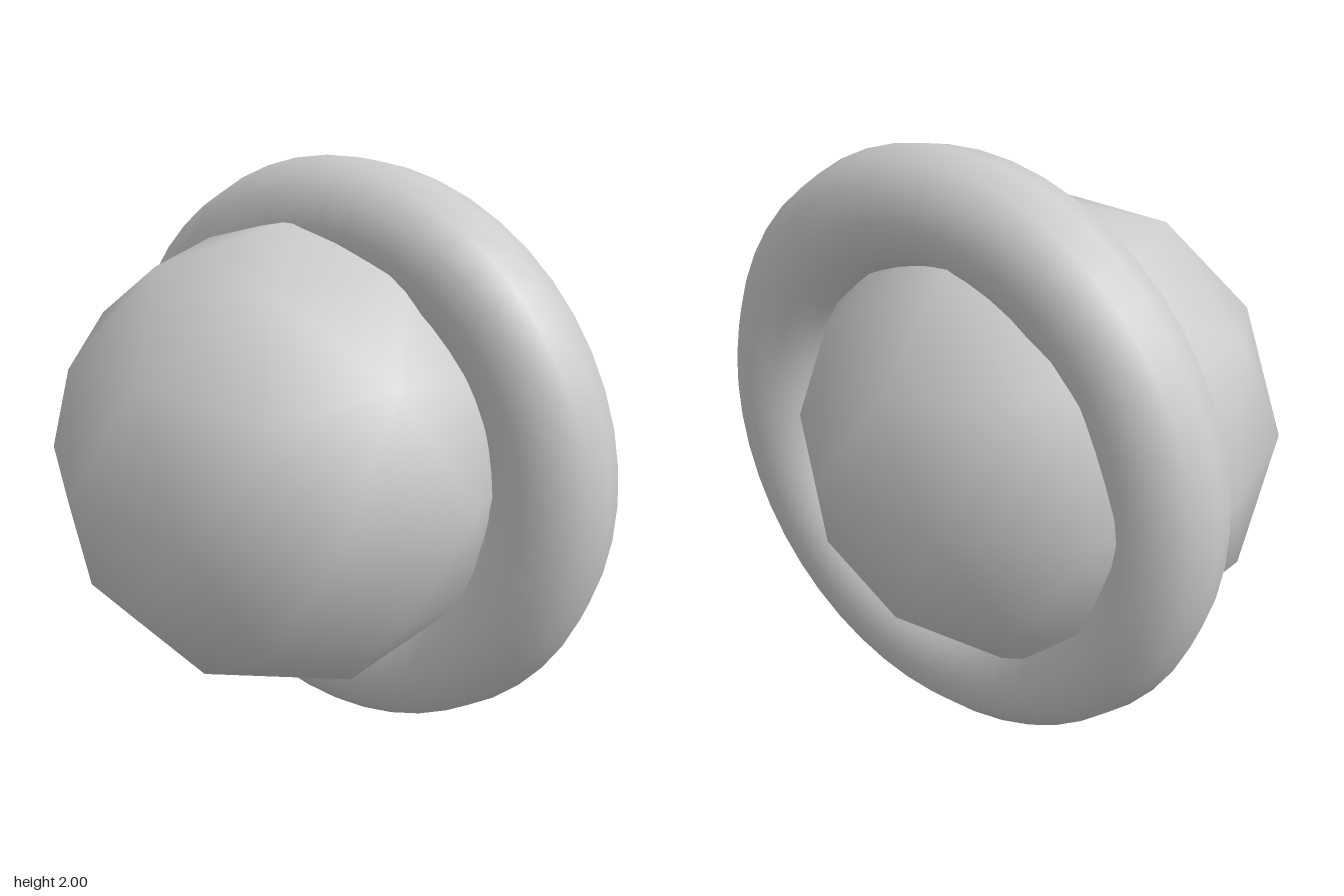
import * as THREE from 'three';

// Icosahedron standing on a vertex, each face split in four, smooth normals
function icoBall(radius) {
  const h = Math.sqrt(0.2), w = 2 * h;
  const points = [0, 1, 0];
  const ring = (y, offset) => {
    for (let k = 0; k < 5; k++) {
      const a = offset + (k * Math.PI * 2) / 5;
      points.push(w * Math.cos(a), y, -w * Math.sin(a));
    }
  };
  ring(h, 0);
  ring(-h, Math.PI / 5);
  points.push(0, -1, 0);

  const faces = [];
  for (let k = 0; k < 5; k++) {
    const n = (k + 1) % 5;
    const u = 1 + k, un = 1 + n, l = 6 + k, ln = 6 + n;
    faces.push(0, u, un, u, l, un, l, ln, un, ln, l, 11);
  }
  return new THREE.PolyhedronGeometry(points, faces, radius, 1);
}

export function createModel() {
  const group = new THREE.Group();
  const material = new THREE.MeshStandardMaterial({ color: 0xcccccc });

  // Faceted-outline ball
  const ball = new THREE.Mesh(icoBall(0.8), material);
  ball.name = 'ball';
  ball.position.set(0, 1.013, -0.11);
  group.add(ball);

  // Thick ring around the ball, axis along x with a very slight turn
  const ring = new THREE.Mesh(new THREE.TorusGeometry(0.8, 0.2, 12, 48), material);
  ring.name = 'ring';
  ring.position.set(0.245, 1, 0);
  ring.rotation.y = Math.PI / 2 + 0.0225;
  group.add(ring);

  return group;
}
